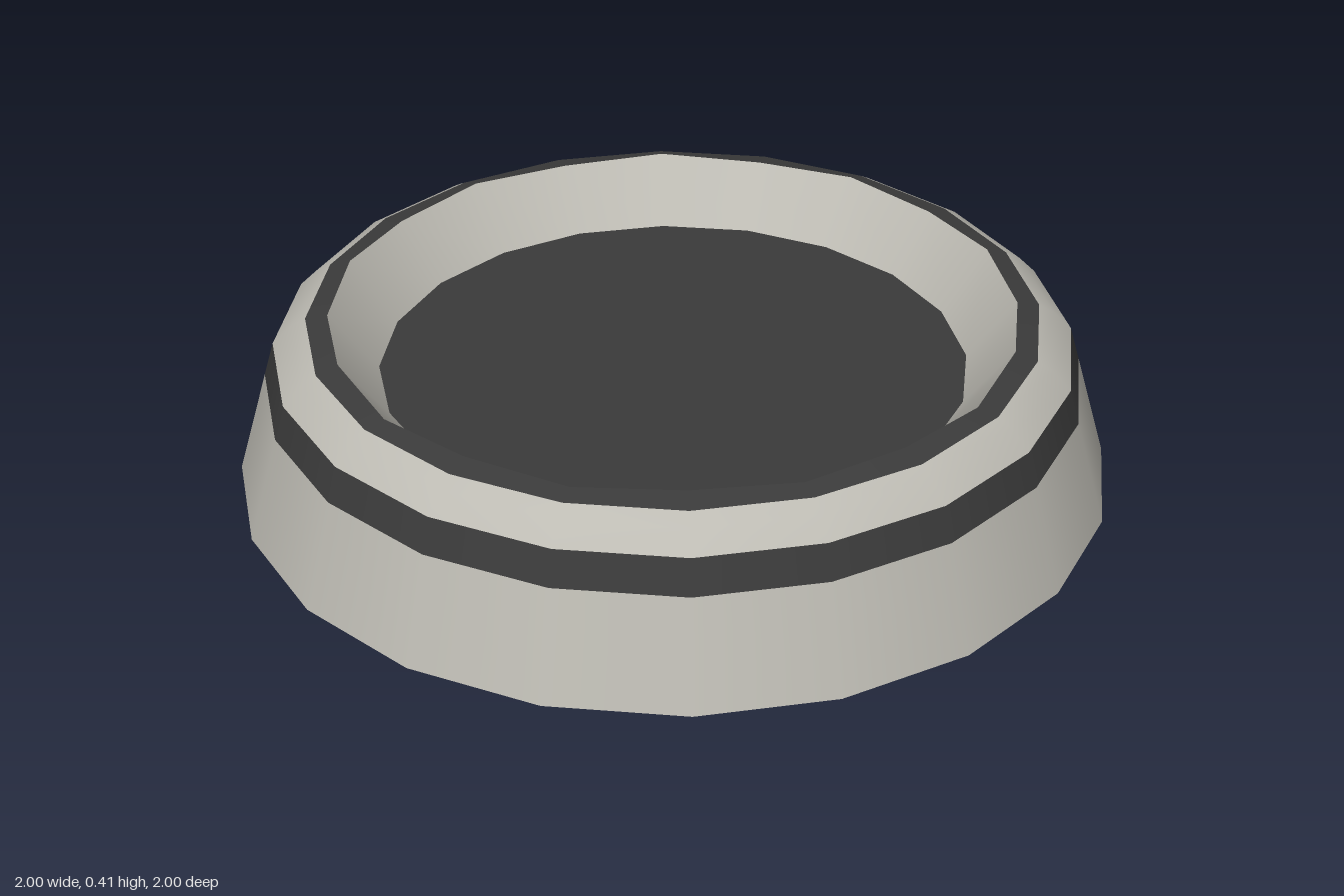
import * as THREE from 'three';

const SIDES = 20;

export function createModel() {
  const group = new THREE.Group();
  group.name = 'roundBowl';

  const shell = new THREE.MeshStandardMaterial({ color: 0xbdbbb3, side: THREE.DoubleSide });
  shell.name = 'warm grey';
  const trim = new THREE.MeshStandardMaterial({ color: 0x3b3b3b, side: THREE.DoubleSide });
  trim.name = 'charcoal';

  // Inner edge of the rim rises slightly at every other corner
  const LIP = 0.78;
  const waveLip = (geometry) => {
    const p = geometry.attributes.position;
    for (let i = 0; i < p.count; i++) {
      const x = p.getX(i), z = p.getZ(i);
      if (Math.abs(Math.hypot(x, z) - LIP) > 0.001) continue;
      const corner = Math.round((Math.atan2(x, z) / (Math.PI * 2)) * SIDES);
      p.setY(i, corner % 2 ? 0.405 : 0.395);
    }
  };

  // One turned band of the open-bottomed shell
  const band = (name, material, profile) => {
    const geometry = new THREE.LatheGeometry(profile.map(([r, y]) => new THREE.Vector2(r, y)), SIDES);
    waveLip(geometry);
    const mesh = new THREE.Mesh(geometry, material);
    mesh.name = name;
    group.add(mesh);
  };

  band('outerWall', shell, [[1, 0], [0.93, 0.245]]);
  band('wallStripe', trim, [[0.93, 0.245], [0.907, 0.325]]);
  band('shoulder', shell, [[0.907, 0.325], [0.865, 0.368], [0.83, 0.388]]);
  band('rim', trim, [[0.83, 0.388], [LIP, 0.4]]);
  band('innerWall', shell, [[LIP, 0.4], [0.67, 0.26]]);

  // Floor of the well
  const floor = new THREE.Mesh(new THREE.CircleGeometry(0.67, SIDES).rotateX(-Math.PI / 2), trim);
  floor.name = 'floor';
  floor.position.y = 0.26;
  group.add(floor);

  return group;
}
